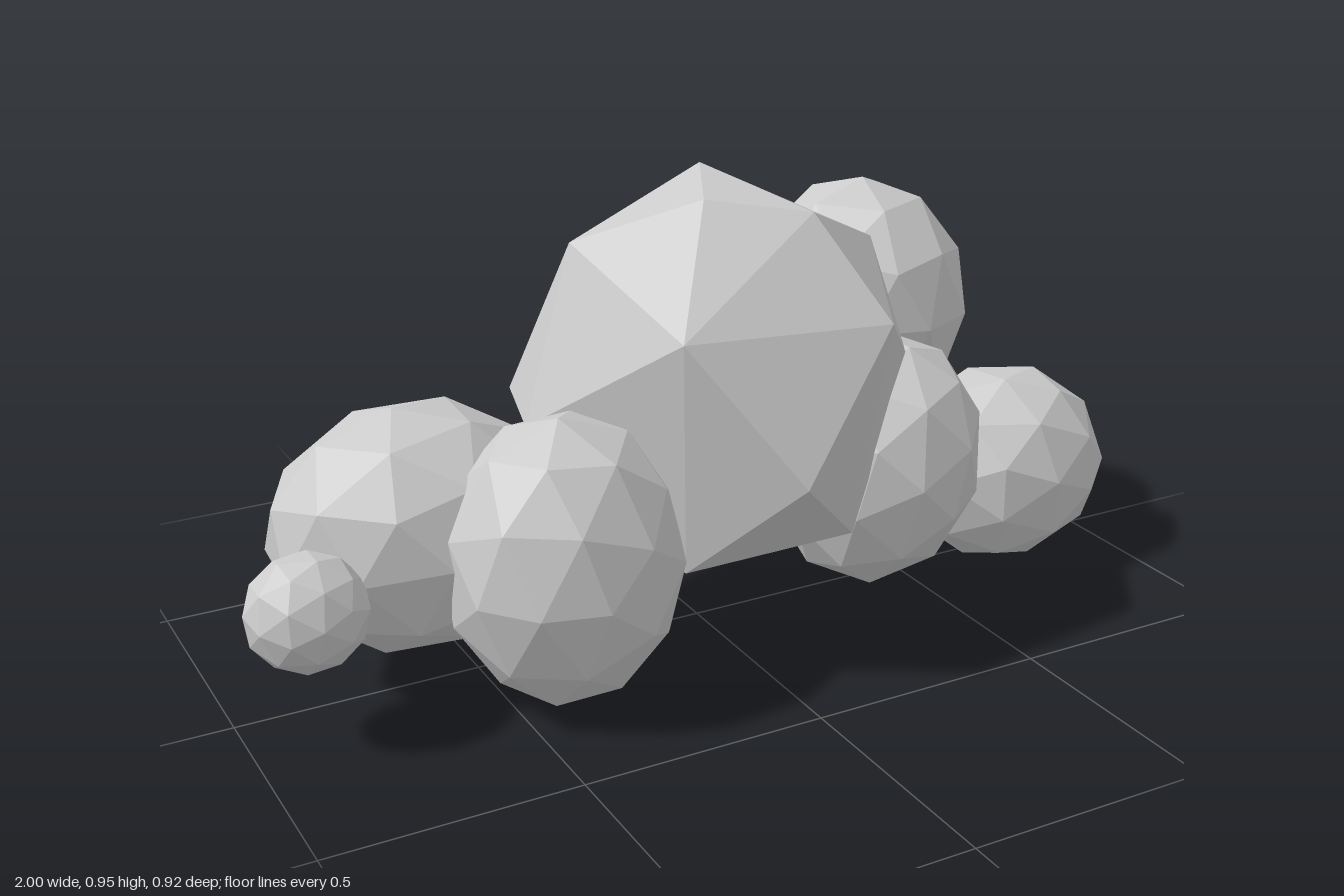
import * as THREE from 'three';
import { ConvexGeometry } from 'three/addons/geometries/ConvexGeometry.js';

export function createModel() {
  const group = new THREE.Group();
  group.name = 'cloud';
  const material = new THREE.MeshStandardMaterial({ color: 0xcccccc, flatShading: true });

  // Large faceted centre: hull around irregular corner points
  const corners = [
    // crown
    [0.06, 0.955, -0.1], [-0.05, 0.943, 0.12], [0.14, 0.915, 0.21], [-0.25, 0.84, -0.06], [0.37, 0.8, 0.06],
    // front
    [-0.01, 0.46, 0.455], [0.23, 0.72, 0.36], [-0.2, 0.735, 0.32],
    // sides
    [-0.38, 0.5, 0], [-0.34, 0.52, -0.17], [0.43, 0.55, 0.12], [0.42, 0.5, -0.1], [0.3, 0.72, -0.24],
    // back
    [-0.09, 0.69, -0.38], [0.2, 0.62, -0.38], [0.14, 0.36, -0.31],
    // underside
    [-0.17, 0.25, 0.27], [0.19, 0.27, 0.3], [0.17, 0.14, 0.06], [-0.04, 0.21, -0.16],
    [0.27, 0.28, -0.18], [-0.24, 0.28, -0.17],
  ].map((p) => new THREE.Vector3(...p));
  const core = new THREE.Mesh(new ConvexGeometry(corners), material);
  core.name = 'centrePuff';
  group.add(core);

  // Smaller puffs: name, centre, radii, turn of the facets, sideways lean
  const puffs = [
    ['rightTipPuff', [-0.88, 0.278, 0.135], [0.12, 0.115, 0.108], 0.3, 0],
    ['rightPuff', [-0.602, 0.325, -0.04], [0.298, 0.25, 0.243], 0.9, 0],
    ['rightFrontPuff', [-0.392, 0.3, 0.19], [0.238, 0.293, 0.23], 1.5, 0],
    ['leftBackPuff', [0.52, 0.565, -0.212], [0.243, 0.28, 0.25], 2.1, 0],
    ['leftFrontPuff', [0.388, 0.315, 0.075], [0.228, 0.275, 0.228], 2.7, -0.25],
    ['leftTipPuff', [0.757, 0.215, 0.024], [0.245, 0.22, 0.212], 3.4, 0],
  ];
  for (const [name, centre, radii, turn, lean] of puffs) {
    const geometry = new THREE.IcosahedronGeometry(1, 1);
    geometry.rotateX(turn).rotateY(turn * 1.7);
    geometry.scale(...radii);
    const puff = new THREE.Mesh(geometry, material);
    puff.name = name;
    puff.position.set(...centre);
    puff.rotation.z = lean;
    group.add(puff);
  }
  return group;
}
